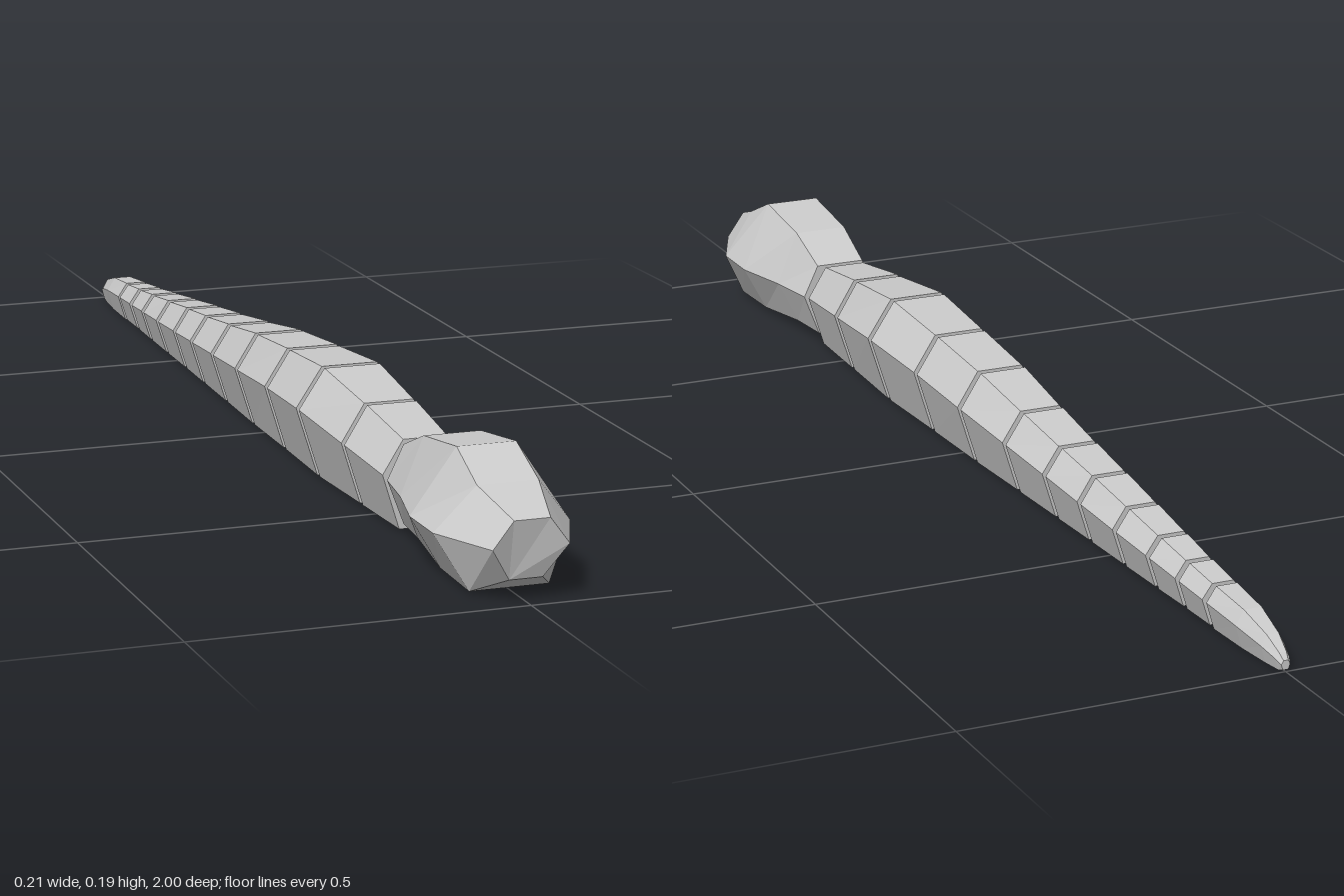
import * as THREE from 'three';

const material = new THREE.MeshStandardMaterial({ color: 0xcccccc, flatShading: true });

// Six-sided ring: flat top, widest edge in the middle, flat bottom; each tier is [halfWidth, y, z]
const ring = ([tx, ty, tz], [mx, my, mz], [bx, by, bz]) => [
  [-bx, by, bz], [bx, by, bz], [mx, my, mz], [tx, ty, tz], [-tx, ty, tz], [-mx, my, mz],
];

// Closed faceted solid through rings ordered from front to back
function loft(name, rings) {
  const pos = [];
  const tri = (...pts) => pts.forEach((p) => pos.push(...p));
  for (let r = 0; r < rings.length - 1; r++) {
    const a = rings[r], b = rings[r + 1];
    for (let i = 0; i < 6; i++) {
      const j = (i + 1) % 6;
      tri(a[i], b[i], b[j]);
      tri(a[i], b[j], a[j]);
    }
  }
  const front = rings[0], back = rings[rings.length - 1];
  for (let i = 1; i < 5; i++) {
    tri(front[0], front[i], front[i + 1]);
    tri(back[0], back[i + 1], back[i]);
  }
  const geometry = new THREE.BufferGeometry();
  geometry.setAttribute('position', new THREE.Float32BufferAttribute(pos, 3));
  geometry.computeVertexNormals();
  const mesh = new THREE.Mesh(geometry, material);
  mesh.name = name;
  return mesh;
}

// Body ring from its top height, middle height and half width
const bodyRing = (z, top, mid, w, base = 0.002) =>
  ring([w * 0.52, top, z], [w, mid, z], [w * 0.6, base, z]);

// Body profile stations: z, top height, middle height, half width
const profile = [
  [0.6, 0.137, 0.086, 0.066], [0.45, 0.155, 0.097, 0.075], [0.28, 0.172, 0.11, 0.086],
  [0.11, 0.161, 0.103, 0.078], [-0.05, 0.149, 0.094, 0.073], [-0.2, 0.13, 0.083, 0.064],
  [-0.33, 0.115, 0.074, 0.057], [-0.44, 0.104, 0.066, 0.051], [-0.55, 0.092, 0.059, 0.046],
  [-0.65, 0.081, 0.053, 0.041], [-0.735, 0.072, 0.047, 0.036], [-0.815, 0.065, 0.043, 0.033],
];

export function createModel() {
  const group = new THREE.Group();
  group.name = 'segmentedSnake';

  // Head: blunt snout, broad cheeks, narrowing to the neck
  group.add(loft('head', [
    ring([0.027, 0.123, 1], [0.057, 0.083, 0.998], [0.025, 0.033, 0.98]),
    ring([0.046, 0.152, 0.91], [0.103, 0.083, 0.89], [0.06, 0.003, 0.92]),
    ring([0.045, 0.187, 0.83], [0.103, 0.083, 0.8], [0.06, 0.006, 0.81]),
    ring([0.044, 0.17, 0.7], [0.079, 0.083, 0.7], [0.048, 0.016, 0.69]),
    ring([0.041, 0.135, 0.613], [0.066, 0.083, 0.613], [0.04, 0.015, 0.613]),
  ]));

  // Body segments, with a narrow gap between neighbours
  const gap = 0.006;
  for (let i = 0; i < profile.length - 1; i++) {
    const [z0, ...a] = profile[i], [z1, ...b] = profile[i + 1];
    group.add(loft(`bodySegment${i + 1}`, [bodyRing(z0 - gap, ...a), bodyRing(z1 + gap, ...b)]));
  }

  // Tail tip, curving down to the ground
  group.add(loft('tailTip', [
    bodyRing(-0.82, 0.065, 0.042, 0.032, 0),
    bodyRing(-0.9, 0.058, 0.036, 0.027, 0),
    bodyRing(-0.96, 0.042, 0.026, 0.018, 0),
    bodyRing(-0.99, 0.026, 0.017, 0.011, 0),
    bodyRing(-1, 0.017, 0.011, 0.007, 0.003),
  ]));
  return group;
}
